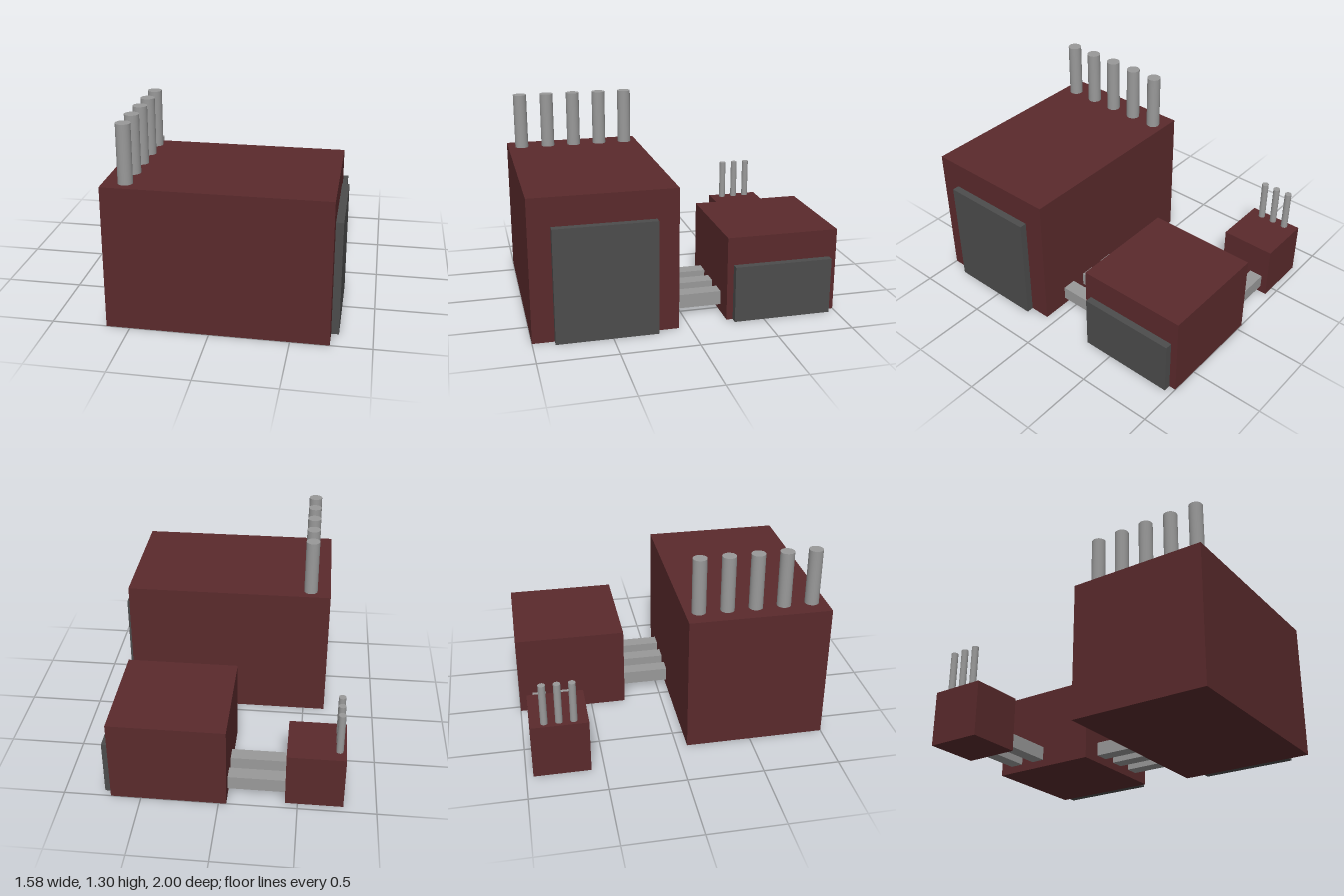
import * as THREE from 'three';

export function createModel() {
  const model = new THREE.Group();
  const wallMat = new THREE.MeshStandardMaterial({ color: 0x5a2a2c });
  const doorMat = new THREE.MeshStandardMaterial({ color: 0x4c4c4c });
  const pipeMat = new THREE.MeshStandardMaterial({ color: 0x999999 });

  // Box given by its extents along each axis
  const box = (parent, name, mat, [x0, x1], [y0, y1], [z0, z1]) => {
    const mesh = new THREE.Mesh(new THREE.BoxGeometry(x1 - x0, y1 - y0, z1 - z0), mat);
    mesh.position.set((x0 + x1) / 2, (y0 + y1) / 2, (z0 + z1) / 2);
    mesh.name = name;
    parent.add(mesh);
  };

  // Row of upright chimneys along z
  const chimneys = (parent, x, zStart, step, count, radius, y0, y1) => {
    const geometry = new THREE.CylinderGeometry(radius, radius, y1 - y0, 32);
    for (let i = 0; i < count; i++) {
      const mesh = new THREE.Mesh(geometry, pipeMat);
      mesh.position.set(x, (y0 + y1) / 2, zStart + i * step);
      mesh.name = 'chimney';
      parent.add(mesh);
    }
  };

  const group = (name) => {
    const g = new THREE.Group();
    g.name = name;
    model.add(g);
    return g;
  };

  // Large front hall with door and five chimneys
  const mainHall = group('mainHall');
  box(mainHall, 'hallWalls', wallMat, [-0.65, 0.742], [0, 0.93], [0.07, 1]);
  box(mainHall, 'hallDoor', doorMat, [0.742, 0.79], [0, 0.745], [0.21, 0.86]);
  chimneys(mainHall, -0.514, 0.16, 0.186, 5, 0.046, 0.93, 1.305);

  // Middle building with door
  const middleHall = group('middleHall');
  box(middleHall, 'middleWalls', wallMat, [-0.05, 0.695], [0, 0.56], [-1, -0.26]);
  box(middleHall, 'middleDoor', doorMat, [0.695, 0.742], [0, 0.375], [-0.953, -0.302]);

  // Small side building with three thin chimneys
  const boilerHouse = group('boilerHouse');
  box(boilerHouse, 'boilerWalls', wallMat, [-0.79, -0.42], [0, 0.372], [-0.955, -0.585]);
  chimneys(boilerHouse, -0.746, -0.863, 0.093, 3, 0.023, 0.372, 0.652);

  // Square ducts linking the buildings
  const ducts = group('ducts');
  for (const x of [0.135, 0.322, 0.512])
    box(ducts, 'frontDuct', pipeMat, [x - 0.047, x + 0.047], [0.05, 0.143], [-0.27, 0.08]);
  for (const z of [-0.863, -0.675])
    box(ducts, 'sideDuct', pipeMat, [-0.43, -0.04], [0.05, 0.143], [z - 0.047, z + 0.047]);

  return model;
}
